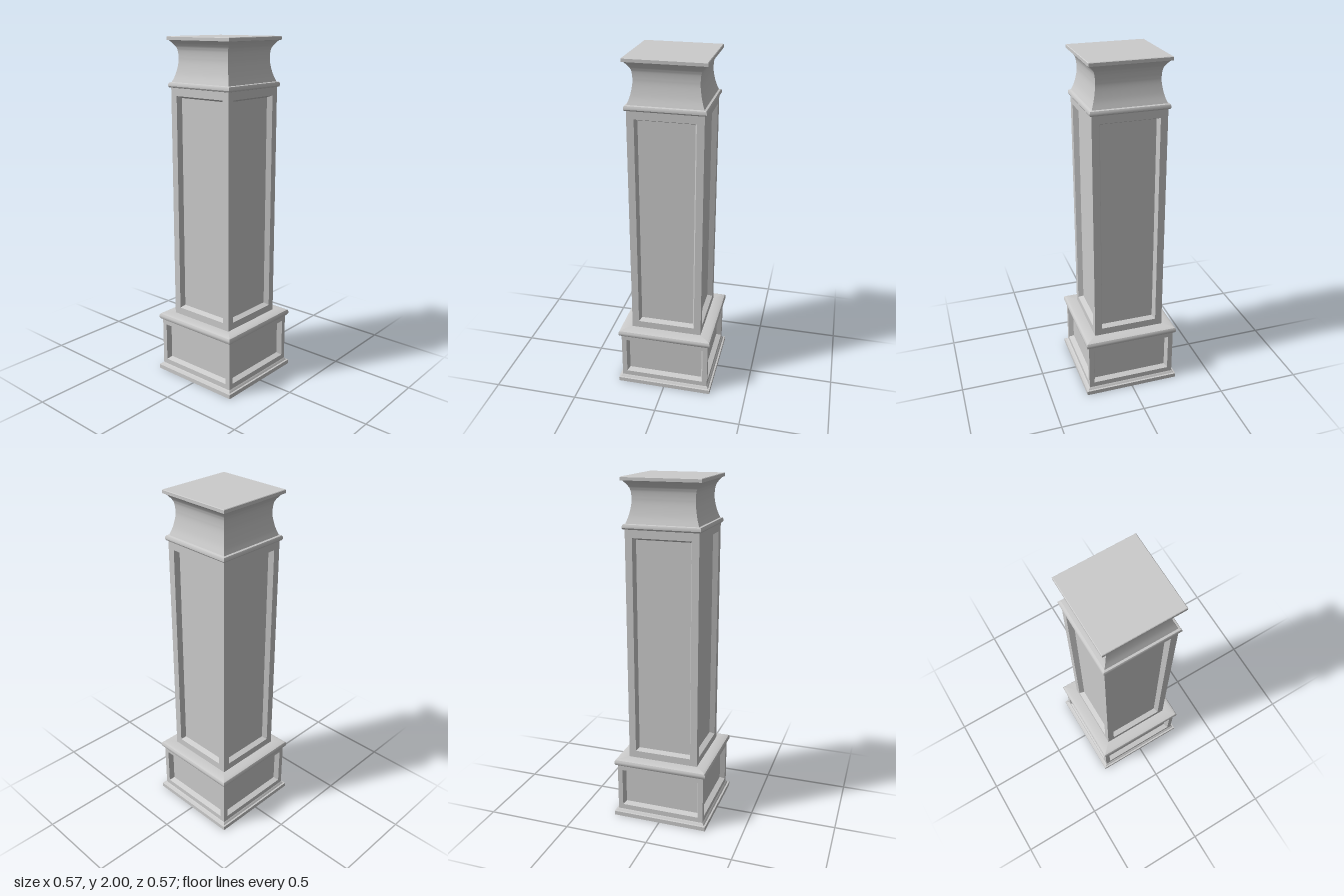
import * as THREE from 'three';
import { toCreasedNormals } from 'three/addons/utils/BufferGeometryUtils.js';

const material = new THREE.MeshStandardMaterial({ color: 0xcccccc, side: THREE.DoubleSide });

const quad = (out, a, b, c, d) => out.push(...a, ...b, ...c, ...a, ...c, ...d);

// Turns the triangles of the front side into a four-sided part
function fourSides(name, triangles) {
  const group = new THREE.Group();
  group.name = name;
  let geometry = new THREE.BufferGeometry();
  geometry.setAttribute('position', new THREE.Float32BufferAttribute(triangles, 3));
  geometry = toCreasedNormals(geometry, 0.5);
  for (let i = 0; i < 4; i++) {
    const side = new THREE.Mesh(geometry, material);
    side.name = name + 'Side';
    side.rotation.y = i * Math.PI / 2;
    group.add(side);
  }
  return group;
}

// Square mitred moulding from a profile of [half width, height]
function moulding(name, profile) {
  const out = [];
  for (let i = 0; i + 1 < profile.length; i++) {
    const [w, y] = profile[i], [v, h] = profile[i + 1];
    quad(out, [-w, y, w], [w, y, w], [v, h, v], [-v, h, v]);
  }
  return fourSides(name, out);
}

// Square wall with a bevelled, sunken panel on each side
function panelledWall(name, half, y0, y1, panelHalf, p0, p1, bevel, depth) {
  const rect = (w, a, b, z) => [[-w, a, z], [w, a, z], [w, b, z], [-w, b, z]];
  const loops = [
    rect(half, y0, y1, half),
    rect(panelHalf, p0, p1, half),
    rect(panelHalf - bevel, p0 + bevel, p1 - bevel, half - depth),
  ];
  const out = [];
  for (let k = 0; k < 2; k++) {
    for (let i = 0; i < 4; i++) {
      const j = (i + 1) % 4;
      quad(out, loops[k][i], loops[k][j], loops[k + 1][j], loops[k + 1][i]);
    }
  }
  quad(out, ...loops[2]);
  return fourSides(name, out);
}

export function createModel() {
  const model = new THREE.Group();
  model.name = 'squareColumn';

  // Hollow pedestal, open underneath
  model.add(moulding('plinth', [[0.285, 0], [0.285, 0.025], [0.275, 0.027], [0.27, 0.035], [0.265, 0.04]]));
  model.add(panelledWall('pedestal', 0.265, 0.04, 0.33, 0.236, 0.07, 0.3, 0.012, 0.03));
  model.add(moulding('pedestalCap', [
    [0.265, 0.33], [0.275, 0.333], [0.28, 0.343], [0.28, 0.354], [0.275, 0.365], [0.262, 0.37], [0.21, 0.37],
  ]));

  // Shaft with tall panels
  model.add(panelledWall('shaft', 0.21, 0.37, 1.722, 0.169, 0.412, 1.678, 0.012, 0.03));
  model.add(moulding('neckMoulding', [
    [0.21, 1.722], [0.218, 1.724], [0.222, 1.731], [0.222, 1.741], [0.218, 1.75], [0.207, 1.753],
  ]));

  // Concave capital
  const cove = new THREE.SplineCurve([
    [0.207, 1.753], [0.192, 1.795], [0.181, 1.85], [0.179, 1.89], [0.184, 1.932], [0.198, 1.958], [0.215, 1.978],
  ].map(([w, y]) => new THREE.Vector2(w, y)));
  model.add(moulding('capital', cove.getPoints(24).map((p) => [p.x, p.y])));

  // Top slab with a fine chamfer, closed by a flat lid
  model.add(moulding('abacus', [[0.215, 1.978], [0.225, 1.98], [0.225, 1.997], [0.222, 2], [0, 2]]));
  return model;
}
